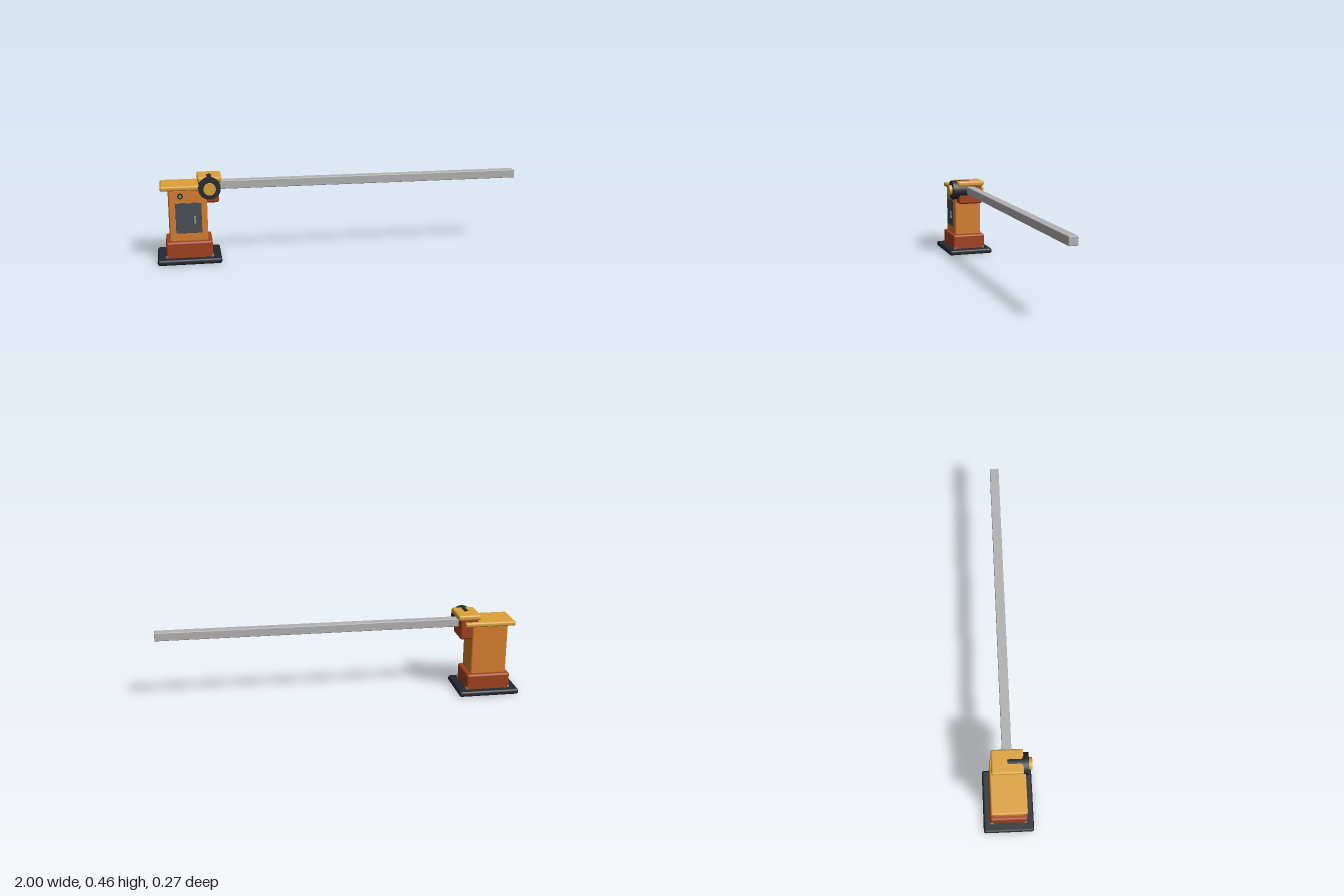
import * as THREE from 'three';
import { RoundedBoxGeometry } from 'three/addons/geometries/RoundedBoxGeometry.js';

const mat = (color) => new THREE.MeshStandardMaterial({ color });
const black = mat(0x23282e), rust = mat(0xa2411d), orange = mat(0xd67e2e);
const yellow = mat(0xdca23a), steel = mat(0xb2b2b2), slate = mat(0x494d53);
const grey = mat(0x858a8e), green = mat(0x2fa46c);

export function createModel() {
  const model = new THREE.Group();
  model.name = 'barrierGate';

  const add = (name, geometry, material, x, y, z) => {
    const mesh = new THREE.Mesh(geometry, material);
    mesh.name = name;
    mesh.position.set(x, y, z);
    model.add(mesh);
    return mesh;
  };

  // Box given by its min and max on each axis, with softened edges
  const block = (name, material, [x0, x1], [y0, y1], [z0, z1], r) =>
    add(name, new RoundedBoxGeometry(x1 - x0, y1 - y0, z1 - z0, 2, r), material,
      (x0 + x1) / 2, (y0 + y1) / 2, (z0 + z1) / 2);

  // Cylinder along z from z0 to z1
  const disc = (name, material, x, y, z0, z1, r, sides = 40) => {
    const geometry = new THREE.CylinderGeometry(r, r, z1 - z0, sides).rotateX(Math.PI / 2);
    return add(name, geometry, material, x, y, (z0 + z1) / 2);
  };

  // Cabinet stack
  block('basePlate', black, [-1, -0.66], [0, 0.031], [-0.136, 0.136], 0.012);
  block('plinth', rust, [-0.952, -0.706], [0.015, 0.118], [-0.1, 0.1], 0.012);
  block('cabinet', orange, [-0.932, -0.728], [0.112, 0.402], [-0.083, 0.083], 0.011);
  block('lid', yellow, [-0.973, -0.687], [0.394, 0.421], [-0.093, 0.093], 0.01);

  // Anchor bolts at the plinth corners
  for (const sx of [-1, 1]) {
    for (const sz of [-1, 1]) {
      add('anchorBolt', new THREE.CylinderGeometry(0.01, 0.01, 0.016, 12), grey,
        -0.829 + sx * 0.118, 0.034, sz * 0.09);
    }
  }

  // Service door, handle and status lamp
  block('door', slate, [-0.896, -0.759], [0.163, 0.328], [0.078, 0.089], 0.002);
  block('doorHandle', grey, [-0.802, -0.789], [0.214, 0.257], [0.086, 0.097], 0.003);
  disc('lampBezel', black, -0.869, 0.365, 0.078, 0.088, 0.015, 24);
  disc('lamp', green, -0.869, 0.365, 0.08, 0.091, 0.009, 24);

  // Pivot head
  block('headBlock', rust, [-0.765, -0.664], [0.32, 0.442], [-0.074, 0.074], 0.012);
  block('headCap', yellow, [-0.776, -0.648], [0.432, 0.462], [-0.083, 0.083], 0.01);
  disc('pivotDrum', black, -0.714, 0.405, 0, 0.11, 0.0585);
  disc('pivotCap', yellow, -0.714, 0.405, 0.105, 0.128, 0.032);

  // Boom arm
  block('boomArm', steel, [-0.72, 1], [0.382, 0.428], [-0.025, 0.025], 0.004);

  return model;
}
